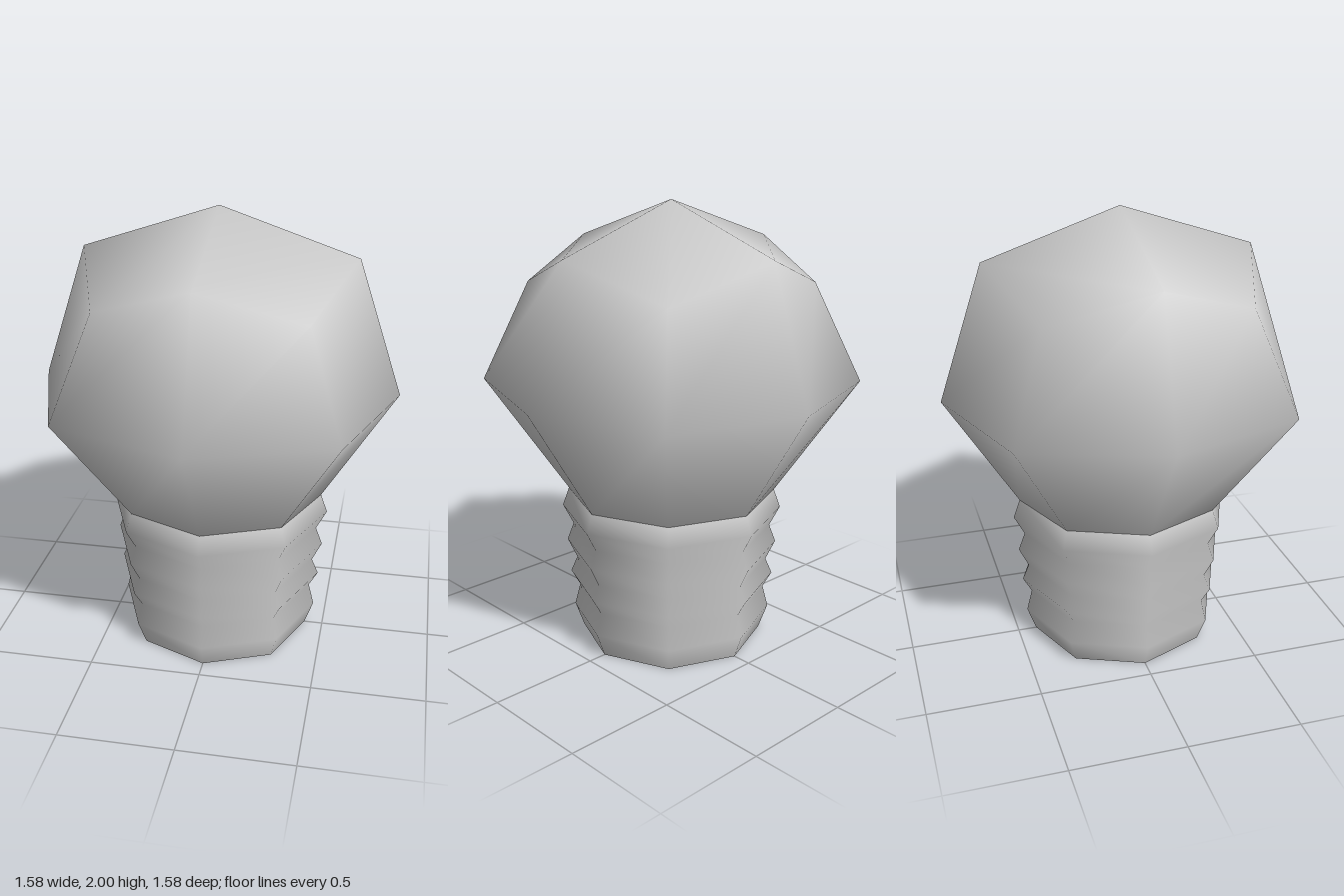
import * as THREE from 'three';
import { mergeVertices } from 'three/addons/utils/BufferGeometryUtils.js';

const material = new THREE.MeshStandardMaterial({ color: 0xcccccc, side: THREE.DoubleSide });

// Rounded cube: the more axes a grid point lies on, the closer it is pulled in.
// Its open underside is pinched into an octagon that meets the neck.
function makeBulb(centerY, neckY, neckRadius) {
  const reach = [0, 0.79, 0.592, 0.44];
  const box = new THREE.BoxGeometry(2, 2, 2, 2, 2, 2);
  box.deleteAttribute('normal');
  box.deleteAttribute('uv');
  const index = Array.from(box.index.array);
  index.splice(72, 24); // drop the underside
  box.setIndex(index);
  box.clearGroups();

  const pos = box.attributes.position;
  const p = new THREE.Vector3();
  for (let i = 0; i < pos.count; i++) {
    p.fromBufferAttribute(pos, i);
    if (p.y < -0.5) {
      p.y = 0;
      p.setLength(neckRadius);
      p.y = neckY;
    } else {
      const axes = Math.abs(p.x) + Math.abs(p.y) + Math.abs(p.z);
      p.multiplyScalar(reach[Math.round(axes)]);
      p.y += centerY;
    }
    pos.setXYZ(i, p.x, p.y, p.z);
  }
  const geometry = mergeVertices(box);
  geometry.computeVertexNormals();
  return geometry;
}

// Ribbed screw base, slightly tapered and open at the bottom
function makeBase() {
  const profile = [
    [0.415, 0], [0.455, 0.11], [0.43, 0.21], [0.47, 0.28], [0.44, 0.35],
    [0.483, 0.44], [0.453, 0.52], [0.5, 0.61], [0.47, 0.695],
  ].map(([r, y]) => new THREE.Vector2(r, y));
  return new THREE.LatheGeometry(profile, 8);
}

export function createModel() {
  const group = new THREE.Group();
  group.name = 'lightBulb';
  const add = (name, geometry) => {
    const mesh = new THREE.Mesh(geometry, material);
    mesh.name = name;
    group.add(mesh);
  };
  add('bulb', makeBulb(1.21, 0.695, 0.47));
  add('screwBase', makeBase());
  return group;
}
